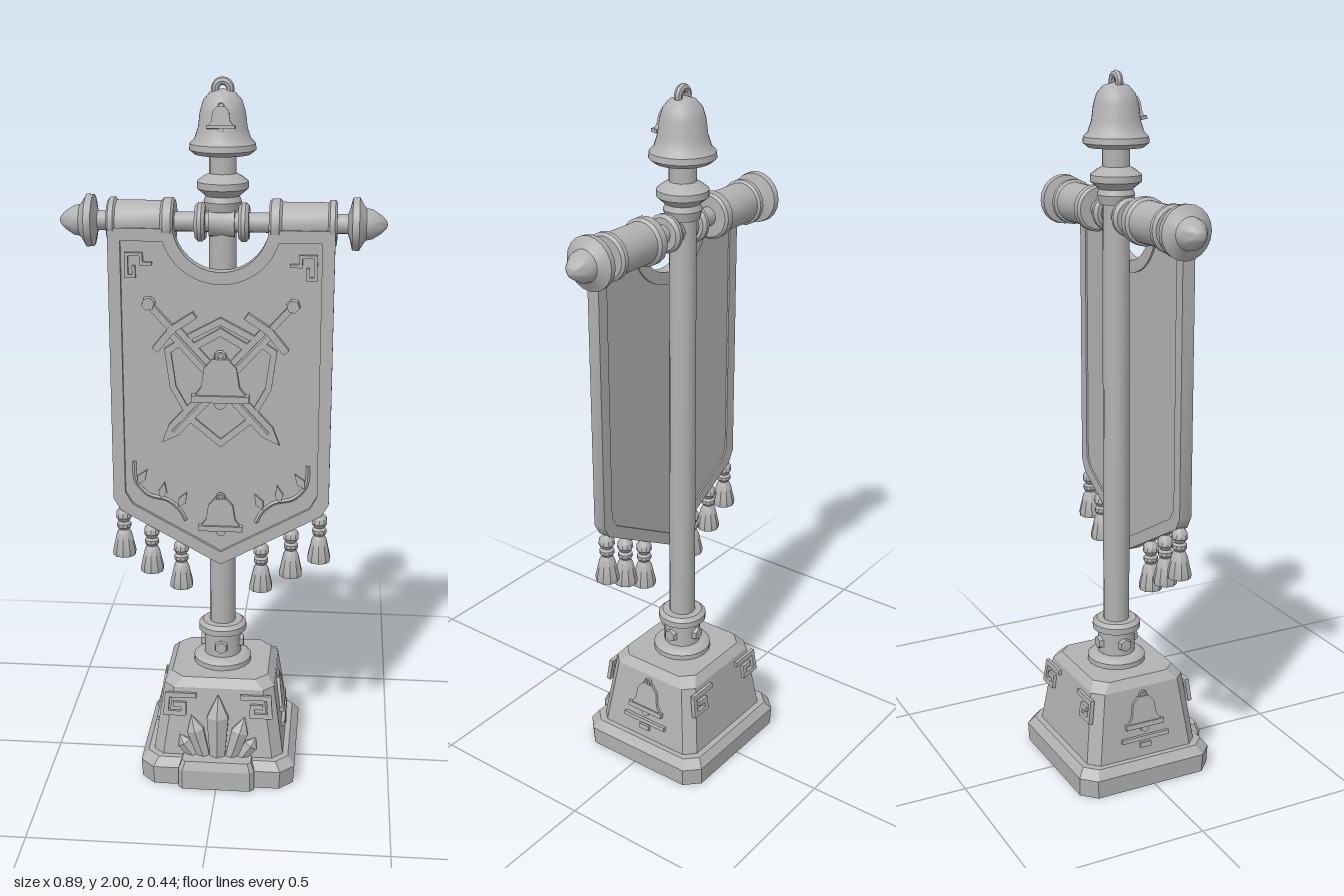
import * as THREE from 'three';
import { toCreasedNormals, mergeGeometries } from 'three/addons/utils/BufferGeometryUtils.js';

const stone = new THREE.MeshStandardMaterial({ color: 0xb2b2b2 });
stone.name = 'grey stone';
const AXIS_Z = -0.012; // depth of the pole axis

function add(parent, name, geometry, x = 0, y = 0, z = 0, crease = 0.6) {
  const mesh = new THREE.Mesh(toCreasedNormals(geometry, crease), stone);
  mesh.name = name;
  mesh.position.set(x, y, z);
  parent.add(mesh);
  return mesh;
}

function group(parent, name, x = 0, y = 0, z = 0) {
  const g = new THREE.Group();
  g.name = name;
  g.position.set(x, y, z);
  parent.add(g);
  return g;
}

const vecs = (pts) => pts.map(([x, y]) => new THREE.Vector2(x, y));
const lathe = (pts, seg = 20) => new THREE.LatheGeometry(vecs(pts), seg);
const mirrored = (pts) => [...pts, ...pts.slice().reverse().filter(([x]) => x !== 0).map(([x, y]) => [-x, y])];
const polygon = (pts) => new THREE.Shape(vecs(pts));
const plate = (shape, depth) => new THREE.ExtrudeGeometry(shape, { depth, bevelEnabled: false, curveSegments: 12 });

// Stack of chamfered rectangles: [y, halfWidth, halfDepth, chamfer]
function loft(levels) {
  const pos = [], index = [];
  for (const [y, w, d, c] of levels)
    for (const [x, z] of [[w, d - c], [w, c - d], [w - c, -d], [c - w, -d], [-w, c - d], [-w, d - c], [c - w, d], [w - c, d]])
      pos.push(x, y, z);
  const top = (levels.length - 1) * 8;
  for (let l = 0; l < top; l += 8)
    for (let i = 0; i < 8; i++) {
      const a = l + i, b = l + (i + 1) % 8;
      index.push(a, b, b + 8, a, b + 8, a + 8);
    }
  for (let i = 1; i < 7; i++) index.push(top, top + i, top + i + 1, 0, i + 1, i);
  const g = new THREE.BufferGeometry();
  g.setAttribute('position', new THREE.Float32BufferAttribute(pos, 3));
  g.setIndex(index);
  return g;
}

// Raised line made of short bars
function stroke(pts, width, depth) {
  const bars = [];
  for (let i = 1; i < pts.length; i++) {
    const [x0, y0] = pts[i - 1], [x1, y1] = pts[i];
    const bar = new THREE.BoxGeometry(Math.hypot(x1 - x0, y1 - y0) + width * 0.9, width, depth);
    bar.rotateZ(Math.atan2(y1 - y0, x1 - x0));
    bar.translate((x0 + x1) / 2, (y0 + y1) / 2, depth / 2);
    bars.push(bar);
  }
  return mergeGeometries(bars);
}

// Relief of a bell with rim, clapper and loop, standing on its own y = 0
function bellRelief(parent, s, x, y, z, depth) {
  const g = group(parent, 'bellRelief', x, y, z);
  add(g, 'bellBody', plate(polygon(mirrored([[0.48 * s, 0.18 * s], [0.33 * s, 0.38 * s], [0.28 * s, 0.72 * s], [0.14 * s, 0.88 * s]])), depth));
  add(g, 'bellRim', new THREE.BoxGeometry(s, 0.12 * s, depth * 1.5), 0, 0.18 * s, depth * 0.75);
  add(g, 'bellClapper', plate(new THREE.Shape().absarc(0, 0.1 * s, 0.11 * s, 0, Math.PI * 2), depth));
  add(g, 'bellLoop', new THREE.TorusGeometry(0.08 * s, 0.035 * s, 5, 10), 0, 0.92 * s, depth * 0.5);
  return g;
}

// Banner outline, moved inward by d
function bannerOutline(d, Type) {
  const w = 0.305 - d, top = 1.61 - d, r = 0.13 + d, cy = 1.625, tip = 0.645 + 1.14 * d;
  const a = Math.asin((top - cy) / r);
  const s = new Type();
  s.moveTo(-w, top);
  s.lineTo(-w, tip + 0.55 * w + 0.025);
  s.lineTo(-w + 0.02, tip + 0.55 * w - 0.01);
  s.lineTo(0, tip);
  s.lineTo(w - 0.02, tip + 0.55 * w - 0.01);
  s.lineTo(w, tip + 0.55 * w + 0.025);
  s.lineTo(w, top);
  s.lineTo(r * Math.cos(a), top);
  s.absarc(0, cy, r, a, -Math.PI - a, true);
  s.closePath();
  return s;
}

function buildBase(root) {
  const base = group(root, 'base', 0, 0, AXIS_Z);
  add(base, 'plinth', loft([[0, 0.222, 0.208, 0.04], [0.055, 0.225, 0.21, 0.04], [0.08, 0.205, 0.192, 0.035]]), 0, 0, 0, 0.3);
  add(base, 'pedestal', loft([[0.075, 0.19, 0.175, 0.03], [0.285, 0.16, 0.147, 0.03], [0.31, 0.14, 0.128, 0.035]]), 0, 0, 0, 0.3);
  add(base, 'frontStep', loft([[0, 0.11, 0.04, 0.012], [0.06, 0.11, 0.04, 0.012], [0.085, 0.1, 0.03, 0.01]]), 0, 0, 0.192, 0.3);

  // Scroll corners on front and back, bells on the sides
  const lean = Math.atan(0.028 / 0.21);
  for (let i = 0; i < 4; i++) {
    const turn = group(base, ['front', 'leftSide', 'back', 'rightSide'][i] + 'Carving');
    turn.rotation.y = i * Math.PI / 2;
    const face = group(turn, 'carvedFace', 0, 0.075, i % 2 ? 0.188 : 0.173);
    face.rotation.x = -lean;
    if (i % 2) {
      bellRelief(face, 0.12, 0, 0.08, 0, 0.009);
      add(face, 'bellLedge', new THREE.BoxGeometry(0.15, 0.012, 0.016), 0, 0.062, 0.004);
      add(face, 'stud', new THREE.BoxGeometry(0.035, 0.014, 0.014), 0, 0.04, 0.003);
    } else {
      for (const s of [-1, 1])
        add(face, 'cornerScroll', stroke([[0.07, 0.19], [0.148, 0.19], [0.152, 0.135], [0.1, 0.135], [0.1, 0.162], [0.125, 0.162]].map(([x, y]) => [x * s, y]), 0.014, 0.012));
    }
  }

  // Crystal cluster: [x, height, radius, tilt]
  const cluster = group(base, 'crystalCluster', 0, 0.08, 0.172);
  for (const [x, h, r, tilt] of [[0, 0.19, 0.036, 0], [0.04, 0.13, 0.028, -0.3], [-0.04, 0.13, 0.028, 0.3], [0.07, 0.075, 0.023, -0.6], [-0.07, 0.075, 0.023, 0.6]]) {
    const crystal = add(cluster, 'crystal', lathe([[0, 0], [r * 0.7, 0], [r, h * 0.65], [0, h]], 6), x, 0, 0, 0.2);
    crystal.rotation.set(-0.1, 0, tilt);
  }
}

function buildPole(root) {
  const pole = group(root, 'pole', 0, 0, AXIS_Z);
  add(pole, 'poleShaft', new THREE.CylinderGeometry(0.037, 0.038, 1.45, 12), 0, 1.125, 0);
  add(pole, 'lowerCollar', lathe([[0, 0.3], [0.085, 0.3], [0.085, 0.325], [0.072, 0.336], [0.054, 0.338], [0.054, 0.405], [0.07, 0.412], [0.07, 0.43], [0.058, 0.44], [0, 0.44]]));
  for (let i = 0; i < 4; i++) {
    const stud = add(pole, 'collarStud', new THREE.CylinderGeometry(0.018, 0.022, 0.014, 6).rotateX(Math.PI / 2).translate(0, 0, 0.056), 0, 0.372, 0);
    stud.rotation.y = i * Math.PI / 2;
  }
  add(pole, 'upperCollar', lathe([[0, 1.65], [0.046, 1.65], [0.052, 1.675], [0.046, 1.69], [0.07, 1.71], [0.07, 1.728], [0.052, 1.742], [0.036, 1.75], [0.036, 1.82], [0, 1.82]]));

  // Bell finial
  const finial = group(pole, 'bellFinial');
  add(finial, 'bell', lathe([[0, 1.8], [0.075, 1.8], [0.09, 1.812], [0.088, 1.828], [0.076, 1.84], [0.066, 1.87], [0.061, 1.91], [0.052, 1.94], [0.034, 1.96], [0, 1.97]], 24));
  add(finial, 'hangingLoop', new THREE.TorusGeometry(0.02, 0.011, 8, 16), 0, 1.969, 0);
  bellRelief(finial, 0.075, 0, 1.862, 0.058, 0.012).rotation.x = -0.14;
}

function buildCrossbar(root) {
  const bar = group(root, 'crossbar', 0, 1.62, 0);
  add(bar, 'rod', new THREE.CylinderGeometry(0.027, 0.027, 0.7, 12).rotateZ(Math.PI / 2));
  add(bar, 'centreKnot', new THREE.CylinderGeometry(0.04, 0.04, 0.07, 12).rotateZ(Math.PI / 2));
  for (const s of [-1, 1]) {
    const side = group(bar, s > 0 ? 'leftArm' : 'rightArm');
    side.rotation.y = s > 0 ? 0 : Math.PI;
    const turned = (name, pts) => add(side, name, lathe(pts).rotateZ(-Math.PI / 2));
    turned('innerRing', [[0.02, 0.045], [0.045, 0.045], [0.053, 0.054], [0.053, 0.064], [0.045, 0.073], [0.02, 0.073]]);
    turned('clothSleeve', [[0.02, 0.128], [0.058, 0.128], [0.065, 0.134], [0.065, 0.156], [0.057, 0.163], [0.057, 0.285], [0.064, 0.29], [0.064, 0.303], [0.056, 0.309], [0.02, 0.309]]);
    turned('endFinial', [[0.02, 0.335], [0.04, 0.342], [0.07, 0.349], [0.072, 0.367], [0.05, 0.38], [0.043, 0.386], [0.04, 0.402], [0.024, 0.427], [0.01, 0.44], [0, 0.443]]);
  }
}

function buildBanner(root) {
  const banner = group(root, 'banner');
  add(banner, 'cloth', plate(bannerOutline(0.005, THREE.Shape), 0.02), 0, 0, 0.03);
  const rim = bannerOutline(0, THREE.Shape);
  rim.holes.push(bannerOutline(0.034, THREE.Path));
  add(banner, 'clothBorder', plate(rim, 0.036), 0, 0, 0.025);

  // Emblem: shield, crossed swords and bell
  const emblem = group(banner, 'emblem', 0, 1.2, 0.049);
  const shieldPts = (k) => mirrored([[0, -0.2 * k], [0.085 * k, -0.13 * k], [0.14 * k, -0.03 * k], [0.155 * k, 0.08 * k], [0.085 * k, 0.125 * k], [0, 0.17 * k]]);
  add(emblem, 'shield', plate(polygon(shieldPts(1)), 0.005));
  const shieldRim = polygon(shieldPts(1));
  shieldRim.holes.push(new THREE.Path(vecs(shieldPts(0.88))));
  add(emblem, 'shieldRim', plate(shieldRim, 0.012));
  add(emblem, 'shieldChevron', stroke([[-0.085, 0.08], [0, 0.13], [0.085, 0.08]], 0.02, 0.013));
  for (const s of [-1, 1]) {
    const sword = group(emblem, 'sword', 0.018 * s, 0.01, 0.001);
    sword.rotation.z = -s * 0.74;
    add(sword, 'blade', plate(polygon(mirrored([[0, -0.27], [0.02, -0.22], [0.02, 0.17]])), 0.013));
    add(sword, 'bladeRidge', new THREE.BoxGeometry(0.006, 0.39, 0.006), 0, -0.03, 0.014);
    add(sword, 'guard', stroke([[-0.065, 0.16], [0, 0.17], [0.065, 0.16]], 0.02, 0.018));
    add(sword, 'grip', new THREE.BoxGeometry(0.018, 0.08, 0.016), 0, 0.215, 0.008);
    add(sword, 'pommel', new THREE.CylinderGeometry(0.018, 0.02, 0.02, 6).rotateX(Math.PI / 2), 0, 0.265, 0.01);
  }
  bellRelief(emblem, 0.16, 0, -0.085, 0.004, 0.018);

  // Lower bell, corner keys and scrolling vines
  bellRelief(banner, 0.125, 0, 0.735, 0.049, 0.014);
  for (const s of [-1, 1]) {
    const flip = (pts) => pts.map(([x, y]) => [x * s, y]);
    add(banner, 'cornerKey', stroke(flip([[0.19, 1.515], [0.215, 1.515], [0.215, 1.54], [0.255, 1.54], [0.255, 1.48], [0.235, 1.48], [0.235, 1.505]]), 0.009, 0.012), 0, 0, 0.049);
    const path = flip([[0.245, 0.95], [0.24, 0.89], [0.205, 0.85], [0.15, 0.835], [0.115, 0.805], [0.1, 0.775]]).map(([x, y]) => new THREE.Vector3(x, y, 0.051));
    add(banner, 'vine', new THREE.TubeGeometry(new THREE.CatmullRomCurve3(path), 20, 0.006, 5));
    for (const [x, y, a] of [[0.225, 0.9, 0.6], [0.165, 0.86, 0.2], [0.11, 0.835, 0.5]]) {
      const leaf = add(banner, 'vineLeaf', plate(polygon(mirrored([[0, -0.022], [0.012, 0], [0, 0.03]])), 0.01), x * s, y, 0.049);
      leaf.rotation.z = a * s;
    }
  }

  // Tassels along the lower edge: [x, bottom]
  const profile = [[0, 0], [0.033, 0], [0.034, 0.012], [0.022, 0.065], [0.015, 0.078], [0.021, 0.086], [0.021, 0.096], [0.014, 0.102], [0.023, 0.115], [0.021, 0.132], [0.01, 0.145], [0, 0.147]];
  for (const s of [-1, 1])
    for (const [x, y] of [[0.28, 0.66], [0.2, 0.612], [0.115, 0.565]])
      add(banner, 'tassel', lathe(profile, 10), x * s, y, 0.04);
}

export function createModel() {
  const root = new THREE.Group();
  root.name = 'bannerStand';
  buildBase(root);
  buildPole(root);
  buildCrossbar(root);
  buildBanner(root);
  return root;
}
